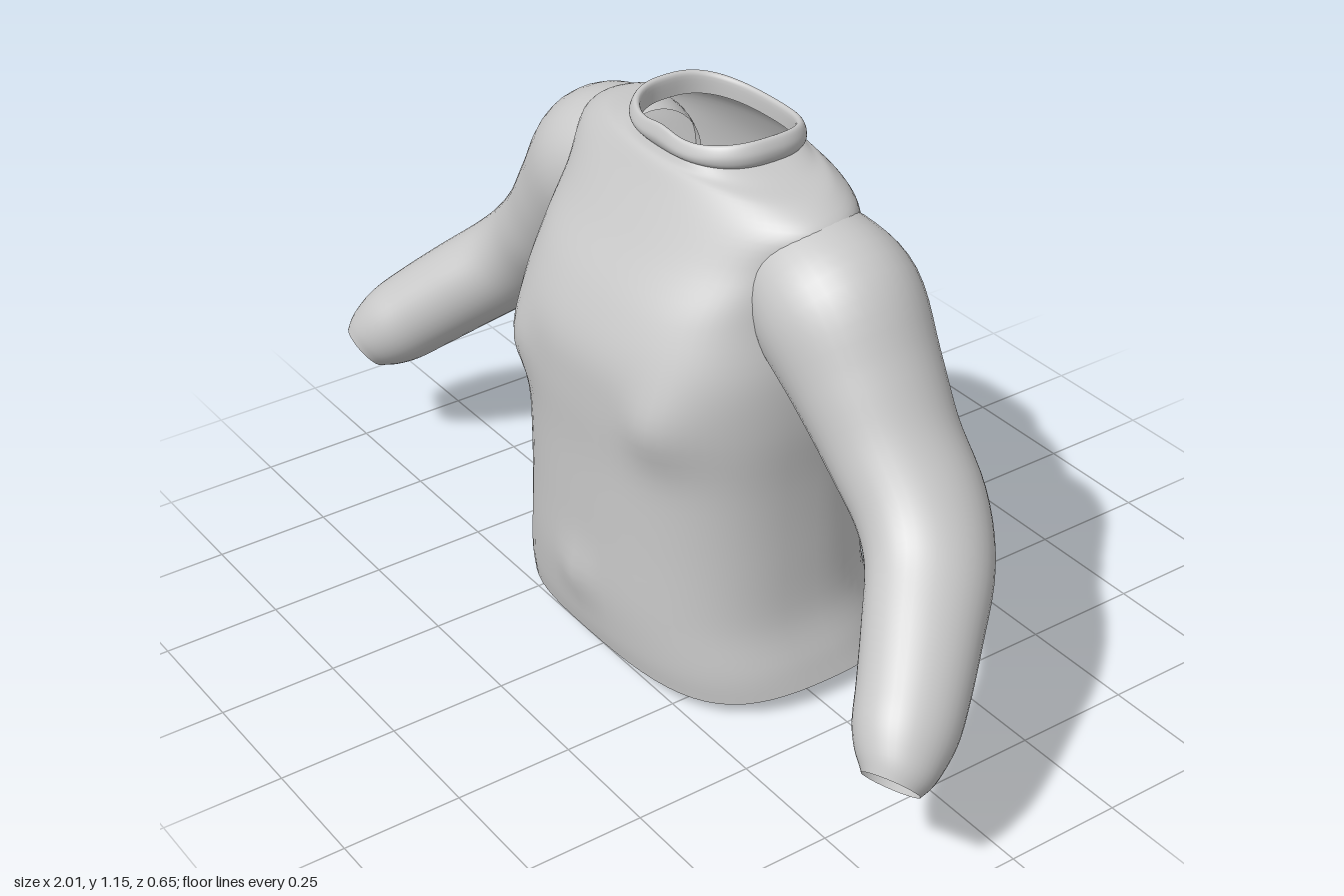
import * as THREE from 'three';

const fabric = new THREE.MeshStandardMaterial({ color: 0xc8c8c8, side: THREE.DoubleSide });
fabric.name = 'grey fabric';

// Smoothly interpolates rows of numbers, t in 0..1
function sampleRows(rows, t) {
  const f = t * (rows.length - 1);
  const i = Math.min(Math.floor(f), rows.length - 2);
  const k = f - i;
  const at = (n) => rows[Math.max(0, Math.min(rows.length - 1, n))];
  return rows[i].map((p1, c) => {
    const p0 = at(i - 1)[c], p2 = at(i + 1)[c], p3 = at(i + 2)[c];
    const m1 = (p2 - p0) / 2, m2 = (p3 - p1) / 2;
    return p1 + k * (m1 + k * (3 * (p2 - p1) - 2 * m1 - m2 + k * (2 * (p1 - p2) + m1 + m2)));
  });
}

// Open tube of rings; point(t, angle) gives a Vector3
function loft(name, point, steps, sides, flip = false) {
  const pos = [], index = [];
  for (let i = 0; i <= steps; i++) {
    for (let j = 0; j < sides; j++) {
      pos.push(...point(i / steps, (j / sides) * Math.PI * 2).toArray());
      if (i === steps) continue;
      const a = i * sides + j, b = i * sides + ((j + 1) % sides);
      const c = a + sides, d = b + sides;
      if (flip) index.push(a, b, c, b, d, c);
      else index.push(a, c, b, b, c, d);
    }
  }
  const geo = new THREE.BufferGeometry();
  geo.setAttribute('position', new THREE.Float32BufferAttribute(pos, 3));
  geo.setIndex(index);
  geo.computeVertexNormals();
  const mesh = new THREE.Mesh(geo, fabric);
  mesh.name = name;
  return mesh;
}

const spow = (v, e) => Math.sign(v) * Math.pow(Math.abs(v), e);
const bell = (x, y, cx, cy, sx, sy) => Math.exp(-(((x - cx) / sx) ** 2) - ((y - cy) / sy) ** 2);

// A ring is [half width, front z, back z, front y, side y, back y, roundness]
function bodyPoint(rows, t, a) {
  const [w, zf, zb, yf, ys, yb, n] = sampleRows(rows, t);
  const c = Math.cos(a), s = Math.sin(a);
  const x = w * spow(c, 2 / n);
  const z = (zf + zb) / 2 + ((zf - zb) / 2) * spow(s, 2 / n);
  const y = ys + ((s > 0 ? yf : yb) - ys) * s * s;
  return new THREE.Vector3(x, y, z);
}

const torsoRings = [
  [0.415, 0.29, -0.335, 0.06, 0.05, 0.02, 2.5],
  [0.4, 0.3, -0.305, 0.11, 0.1, 0.08, 2.5],
  [0.37, 0.31, -0.278, 0.21, 0.2, 0.19, 2.45],
  [0.362, 0.31, -0.275, 0.35, 0.35, 0.35, 2.4],
  [0.362, 0.31, -0.275, 0.5, 0.5, 0.5, 2.4],
  [0.37, 0.314, -0.275, 0.64, 0.64, 0.64, 2.4],
  [0.365, 0.306, -0.275, 0.75, 0.76, 0.77, 2.5],
  [0.345, 0.265, -0.265, 0.85, 0.88, 0.88, 2.5],
  [0.355, 0.2, -0.245, 0.95, 0.97, 0.97, 2.3],
  [0.375, 0.147, -0.212, 1.035, 1.04, 1.045, 2.1],
  [0.32, 0.12, -0.188, 1.08, 1.078, 1.08, 2],
  [0.235, 0.106, -0.178, 1.094, 1.093, 1.09, 2.2],
  [0.178, 0.098, -0.173, 1.108, 1.108, 1.098, 2.5],
];

function torsoPoint(t, a) {
  const p = bodyPoint(torsoRings, t, a);
  const s = Math.sin(a), hem = Math.max(0, 1 - t * 8);
  if (s > 0) {
    // chest and lower belly fullness, wavy front hem
    const ax = Math.abs(p.x);
    p.z += s * (0.035 * bell(ax, p.y, 0.25, 0.65, 0.075, 0.08) + 0.014 * bell(ax, p.y, 0, 0.21, 0.05, 0.06));
    p.y -= 0.02 * Math.sin(2 * a) ** 2 * hem;
  } else {
    // scalloped back hem
    p.z += 0.022 * bell(p.x, p.y, 0, 0, 0.07, 0.05);
    p.y -= 0.015 * bell(p.x, 0, 0, 0, 0.1, 1) * hem;
  }
  return p;
}

// Rolled collar: outside bulge, rim, then down the inside
const collarRings = [
  [0.178, 0.098, -0.173, 1.106, 1.107, 1.094, 2.5],
  [0.184, 0.104, -0.18, 1.112, 1.118, 1.102, 2.5],
  [0.185, 0.106, -0.181, 1.122, 1.135, 1.115, 2.5],
  [0.178, 0.1, -0.177, 1.138, 1.152, 1.13, 2.5],
  [0.17, 0.094, -0.17, 1.142, 1.157, 1.135, 2.5],
  [0.162, 0.088, -0.163, 1.134, 1.148, 1.127, 2.5],
  [0.162, 0.088, -0.163, 1.1, 1.11, 1.095, 2.5],
];

function collarPoint(t, a) {
  const p = bodyPoint(collarRings, t, a);
  // small peak at the centre front
  if (Math.sin(a) > 0) p.y += 0.012 * bell(p.x, 0, 0, 0, 0.05, 1) * Math.min(1, t * 2);
  return p;
}

// Sleeve rings: [x, y, z, radius in the front plane, radius front to back]
const sleeveRings = [
  [0.2, 0.97, -0.04, 0.09, 0.1],
  [0.29, 0.94, -0.042, 0.13, 0.145],
  [0.38, 0.885, -0.042, 0.162, 0.165],
  [0.475, 0.78, -0.04, 0.138, 0.15],
  [0.56, 0.68, -0.038, 0.12, 0.136],
  [0.65, 0.59, -0.034, 0.11, 0.132],
  [0.725, 0.515, 0.002, 0.105, 0.125],
  [0.8, 0.442, 0.078, 0.102, 0.115],
  [0.865, 0.375, 0.15, 0.098, 0.106],
  [0.905, 0.33, 0.2, 0.092, 0.098],
  [0.934, 0.294, 0.238, 0.075, 0.078],
  [0.946, 0.272, 0.262, 0.056, 0.058],
];

function sleevePoint(side) {
  return (t, a) => {
    const [x, y, z, ru, rv] = sampleRows(sleeveRings, t);
    const p0 = sampleRows(sleeveRings, Math.max(0, t - 0.04));
    const p1 = sampleRows(sleeveRings, Math.min(1, t + 0.04));
    const dir = new THREE.Vector3(p1[0] - p0[0], p1[1] - p0[1], p1[2] - p0[2]).normalize();
    const up = new THREE.Vector3(-dir.y, dir.x, 0).normalize();
    const out = new THREE.Vector3().crossVectors(dir, up);
    const p = new THREE.Vector3(x, y, z)
      .addScaledVector(up, ru * Math.cos(a))
      .addScaledVector(out, rv * Math.sin(a));
    p.x *= side;
    return p;
  };
}

export function createModel() {
  const sweater = new THREE.Group();
  sweater.name = 'sweater';
  sweater.add(loft('torso', torsoPoint, 60, 72));
  sweater.add(loft('collar', collarPoint, 24, 72));
  sweater.add(loft('leftSleeve', sleevePoint(1), 55, 40, true));
  sweater.add(loft('rightSleeve', sleevePoint(-1), 55, 40, false));
  return sweater;
}
